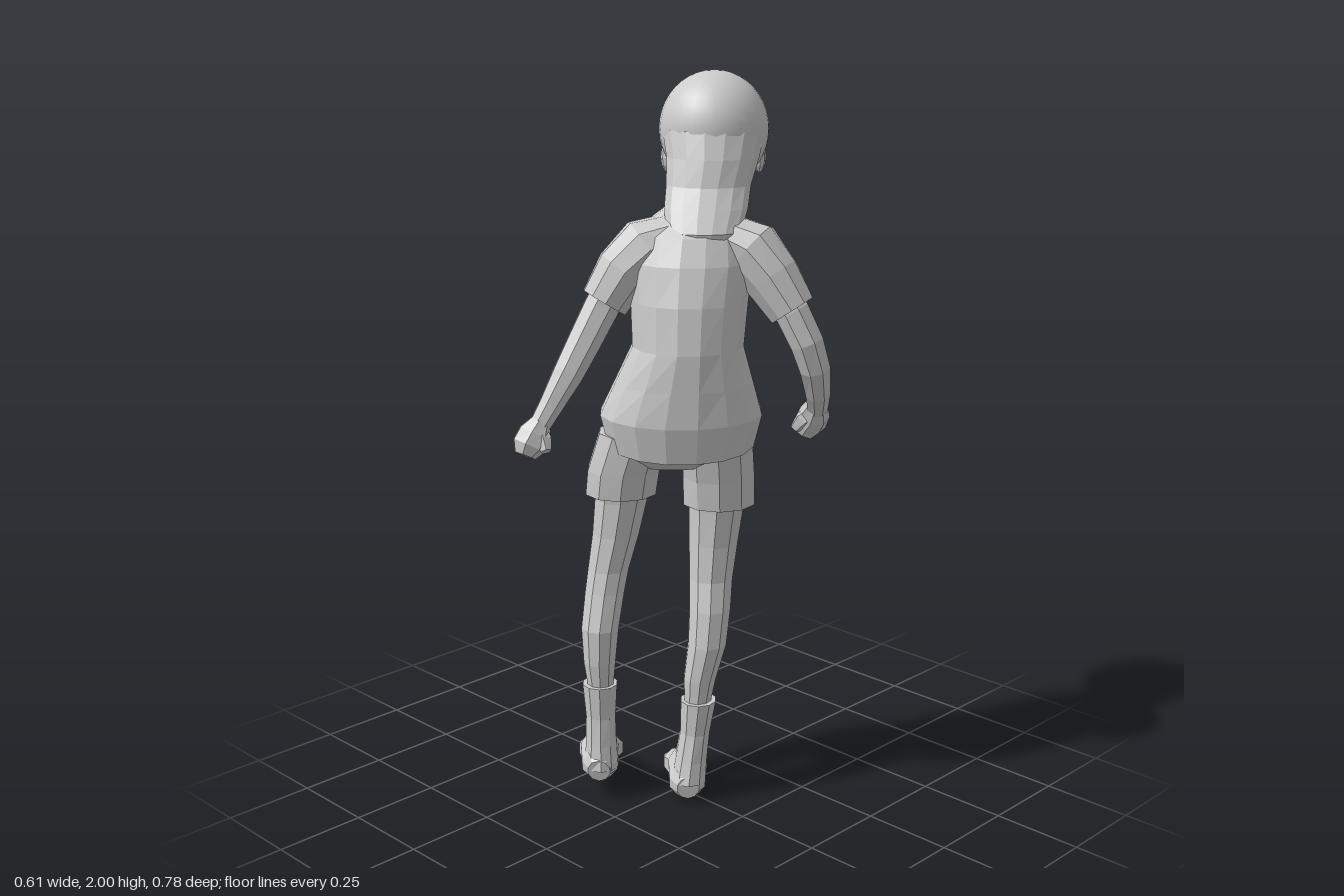
import * as THREE from 'three';

const V = (x, y, z) => new THREE.Vector3(x, y, z);
const UP = V(0, 1, 0);
const FACING = V(-1, 0, -1).normalize(); // the figure looks diagonally
const SIDE = V(-1, 0, 1).normalize();    // towards its own left hand
const YAW = -Math.PI * 0.75;
const flat = new THREE.MeshStandardMaterial({ color: 0xcccccc, flatShading: true, side: THREE.DoubleSide });
const smooth = new THREE.MeshStandardMaterial({ color: 0xcccccc, side: THREE.DoubleSide });

// Skin over elliptical rings [x, y, z, sideRadius, depthRadius, frontLift].
// level: rings stay horizontal (listed bottom to top); otherwise they follow the path.
function loft(name, rings, { sides = 10, level = false, ref = FACING } = {}) {
  const centres = rings.map(r => V(r[0], r[1], r[2]));
  const pos = [], index = [], n = rings.length;
  rings.forEach(([, , , a, b = a, lift = 0], i) => {
    const t = level ? UP.clone()
      : centres[Math.min(i + 1, n - 1)].clone().sub(centres[Math.max(i - 1, 0)]).normalize();
    const A = ref.clone().cross(t).normalize();
    const B = t.clone().cross(A);
    for (let j = 0; j < sides; j++) {
      const q = (j + 0.5) / sides * Math.PI * 2;
      const p = centres[i].clone().addScaledVector(A, a * Math.cos(q)).addScaledVector(B, b * Math.sin(q));
      pos.push(p.x, p.y + lift * Math.sin(q), p.z);
    }
  });
  const first = n * sides, last = first + 1;
  [centres[0], centres[n - 1]].forEach(c => pos.push(c.x, c.y, c.z));
  for (let j = 0; j < sides; j++) {
    const k = (j + 1) % sides, e = (n - 1) * sides;
    for (let i = 0; i < n - 1; i++) {
      const p = i * sides, q = p + sides;
      index.push(p + j, p + k, q + k, p + j, q + k, q + j);
    }
    index.push(first, k, j, last, e + j, e + k);
  }
  const g = new THREE.BufferGeometry();
  g.setAttribute('position', new THREE.Float32BufferAttribute(pos, 3));
  g.setIndex(index);
  g.computeVertexNormals();
  const m = new THREE.Mesh(g, flat);
  m.name = name;
  return m;
}

// Ellipsoid turned to the facing direction
function blob(name, [x, y, z], [sx, sy, sz], segs, material = flat) {
  const m = new THREE.Mesh(new THREE.SphereGeometry(1, segs, Math.round(segs * 0.7)), material);
  m.name = name;
  m.position.set(x, y, z);
  m.scale.set(sx, sy, sz);
  m.rotation.y = YAW;
  return m;
}

function part(name, ...meshes) {
  const g = new THREE.Group();
  g.name = name;
  g.add(...meshes);
  return g;
}

function head() {
  const g = part('head',
    blob('hairCap', [-0.075, 1.845, -0.212], [0.148, 0.155, 0.157], 28, smooth),
    // Long hair falling down the back
    loft('backHair', [
      [0.062, 1.54, -0.03, 0.07, 0.03], [0.045, 1.6, -0.048, 0.1, 0.065], [0.015, 1.655, -0.088, 0.112, 0.08],
      [-0.012, 1.71, -0.125, 0.114, 0.09], [-0.03, 1.78, -0.16, 0.125, 0.11], [-0.06, 1.85, -0.195, 0.14, 0.133],
    ], { sides: 16, level: true }),
    loft('face', [
      [-0.102, 1.634, -0.245, 0.026, 0.026], [-0.104, 1.655, -0.245, 0.056, 0.058], [-0.104, 1.7, -0.24, 0.09, 0.088],
      [-0.102, 1.76, -0.236, 0.115, 0.11], [-0.098, 1.81, -0.233, 0.125, 0.125], [-0.09, 1.87, -0.225, 0.12, 0.125],
    ], { sides: 14, level: true }),
    loft('neck', [[-0.03, 1.57, -0.09, 0.064], [-0.05, 1.65, -0.14, 0.055], [-0.08, 1.74, -0.2, 0.06]]),
    blob('nose', [-0.175, 1.73, -0.31], [0.012, 0.02, 0.018], 6));
  for (const s of [-1, 1]) {
    const ear = V(-0.075, 1.77, -0.21).addScaledVector(SIDE, s * 0.124);
    g.add(blob('ear', ear.toArray(), [0.018, 0.042, 0.028], 8));
    // Lock of hair in front of the ear
    const top = V(-0.11, 1.86, -0.245).addScaledVector(SIDE, s * 0.1);
    const tip = V(-0.12, 1.75, -0.255).addScaledVector(SIDE, s * 0.1);
    g.add(loft('sideLock', [[...tip, 0.01, 0.015], [...top, 0.034, 0.05]], { sides: 6, level: true }));
  }
  // Fringe points over the brow
  for (const q of [-0.55, 0, 0.55]) {
    const dir = FACING.clone().multiplyScalar(Math.cos(q)).addScaledVector(SIDE, Math.sin(q));
    const top = V(-0.085, 1.85, -0.22).addScaledVector(dir, 0.118);
    const tip = V(-0.092, 1.785, -0.227).addScaledVector(dir, 0.118);
    g.add(loft('fringe', [[...tip, 0.012, 0.008], [...top, 0.05, 0.02]], { sides: 6, level: true }));
  }
  return g;
}

// Arm: sleeve path, bare arm path, fist path and thumb path
function arm(name, sleeve, limb, fist, thumb) {
  return part(name,
    loft('sleeve', sleeve), loft('forearm', limb, { sides: 8 }),
    loft('fist', fist, { sides: 7 }), loft('thumb', thumb, { sides: 5 }));
}

// Leg: shorts leg, bare leg, boot shaft and foot
function leg(name, shorts, limb, shaft, foot) {
  return part(name,
    loft('shortsLeg', shorts, { level: true }), loft('bareLeg', limb, { level: true }),
    loft('bootShaft', shaft, { level: true }), loft('foot', foot, { ref: UP }));
}

export function createModel() {
  const model = new THREE.Group();
  model.name = 'standingChild';

  model.add(head());

  // Loose shirt, widest just above the hem, which dips at the back
  model.add(part('torso',
    loft('shirt', [
      [0.008, 1.03, -0.002, 0.198, 0.135, 0.025], [0.005, 1.115, -0.005, 0.22, 0.158, 0.01],
      [0.01, 1.2, -0.012, 0.188, 0.158], [0.016, 1.3, -0.02, 0.15, 0.158], [0.006, 1.42, -0.035, 0.158, 0.156],
      [-0.005, 1.52, -0.055, 0.168, 0.146], [-0.015, 1.59, -0.072, 0.155, 0.128], [-0.022, 1.63, -0.09, 0.115, 0.1],
      [-0.028, 1.662, -0.105, 0.075, 0.07],
    ], { sides: 16, level: true }),
    loft('shortsWaist', [
      [-0.02, 0.97, 0.0, 0.13, 0.08], [0, 1.01, 0.0, 0.18, 0.115], [0.01, 1.08, 0.0, 0.18, 0.12],
    ], { sides: 12, level: true })));

  model.add(arm('leftArm',
    [[-0.04, 1.585, -0.035, 0.06, 0.085], [-0.09, 1.55, 0.03, 0.084, 0.092], [-0.123, 1.49, 0.085, 0.076, 0.082],
      [-0.147, 1.41, 0.13, 0.066, 0.07]],
    [[-0.125, 1.48, 0.1, 0.05], [-0.147, 1.4, 0.14, 0.05], [-0.163, 1.31, 0.19, 0.047], [-0.175, 1.23, 0.238, 0.043],
      [-0.19, 1.15, 0.287, 0.034], [-0.202, 1.09, 0.325, 0.029]],
    [[-0.199, 1.11, 0.315, 0.029], [-0.204, 1.08, 0.333, 0.046, 0.04], [-0.208, 1.05, 0.352, 0.047, 0.042],
      [-0.208, 1.025, 0.366, 0.03, 0.026]],
    [[-0.2, 1.085, 0.32, 0.022], [-0.177, 1.065, 0.328, 0.024], [-0.157, 1.04, 0.335, 0.015]]));

  model.add(arm('rightArm',
    [[0.055, 1.585, -0.12, 0.06, 0.085], [0.12, 1.548, -0.152, 0.084, 0.092], [0.172, 1.48, -0.175, 0.078, 0.084],
      [0.225, 1.395, -0.2, 0.066, 0.072]],
    [[0.175, 1.46, -0.175, 0.05], [0.224, 1.39, -0.2, 0.05], [0.257, 1.31, -0.222, 0.048], [0.266, 1.24, -0.245, 0.044],
      [0.243, 1.16, -0.288, 0.036], [0.21, 1.1, -0.328, 0.029]],
    [[0.215, 1.115, -0.32, 0.029], [0.19, 1.08, -0.34, 0.043, 0.042], [0.168, 1.05, -0.35, 0.045, 0.043],
      [0.15, 1.018, -0.347, 0.03, 0.028]],
    [[0.19, 1.085, -0.33, 0.022], [0.17, 1.065, -0.313, 0.024], [0.152, 1.038, -0.302, 0.015]]));

  model.add(leg('leftLeg',
    [[-0.135, 0.88, 0.087, 0.1, 0.096], [-0.125, 0.95, 0.085, 0.102, 0.102], [-0.09, 1.06, 0.075, 0.1, 0.105]],
    [[-0.145, 0.32, 0.162, 0.036, 0.04], [-0.147, 0.4, 0.163, 0.046, 0.05], [-0.152, 0.5, 0.155, 0.054, 0.062],
      [-0.16, 0.6, 0.128, 0.057, 0.062], [-0.162, 0.66, 0.112, 0.059, 0.064], [-0.154, 0.76, 0.09, 0.067, 0.072],
      [-0.144, 0.86, 0.078, 0.075, 0.08], [-0.13, 0.95, 0.078, 0.08, 0.085]],
    [[-0.142, 0.09, 0.165, 0.05, 0.066], [-0.144, 0.16, 0.164, 0.045, 0.057], [-0.143, 0.24, 0.165, 0.043, 0.047],
      [-0.145, 0.335, 0.165, 0.05, 0.052]],
    [[-0.108, 0.09, 0.208, 0.032, 0.034], [-0.127, 0.095, 0.187, 0.052, 0.05], [-0.172, 0.113, 0.145, 0.056, 0.066],
      [-0.215, 0.09, 0.1, 0.066, 0.046], [-0.25, 0.072, 0.066, 0.065, 0.03], [-0.283, 0.064, 0.034, 0.036, 0.018]]));

  model.add(leg('rightLeg',
    [[0.052, 0.85, -0.105, 0.102, 0.1], [0.055, 0.93, -0.1, 0.102, 0.105], [0.07, 1.06, -0.075, 0.1, 0.105]],
    [[0.062, 0.27, -0.01, 0.036, 0.04], [0.066, 0.36, -0.018, 0.046, 0.05], [0.074, 0.46, -0.038, 0.055, 0.062],
      [0.067, 0.56, -0.056, 0.059, 0.066], [0.052, 0.64, -0.075, 0.062, 0.068], [0.046, 0.74, -0.09, 0.07, 0.076],
      [0.048, 0.84, -0.098, 0.078, 0.082], [0.055, 0.95, -0.098, 0.08, 0.085]],
    [[0.052, 0.06, 0.012, 0.05, 0.066], [0.052, 0.12, 0.002, 0.046, 0.06], [0.059, 0.2, -0.006, 0.043, 0.048],
      [0.066, 0.295, -0.012, 0.051, 0.054]],
    [[0.088, 0.05, 0.05, 0.032, 0.034], [0.065, 0.053, 0.03, 0.053, 0.05], [0.015, 0.07, -0.02, 0.056, 0.066],
      [-0.04, 0.048, -0.07, 0.066, 0.046], [-0.08, 0.034, -0.105, 0.062, 0.03], [-0.11, 0.026, -0.133, 0.034, 0.018]]));

  return model;
}
